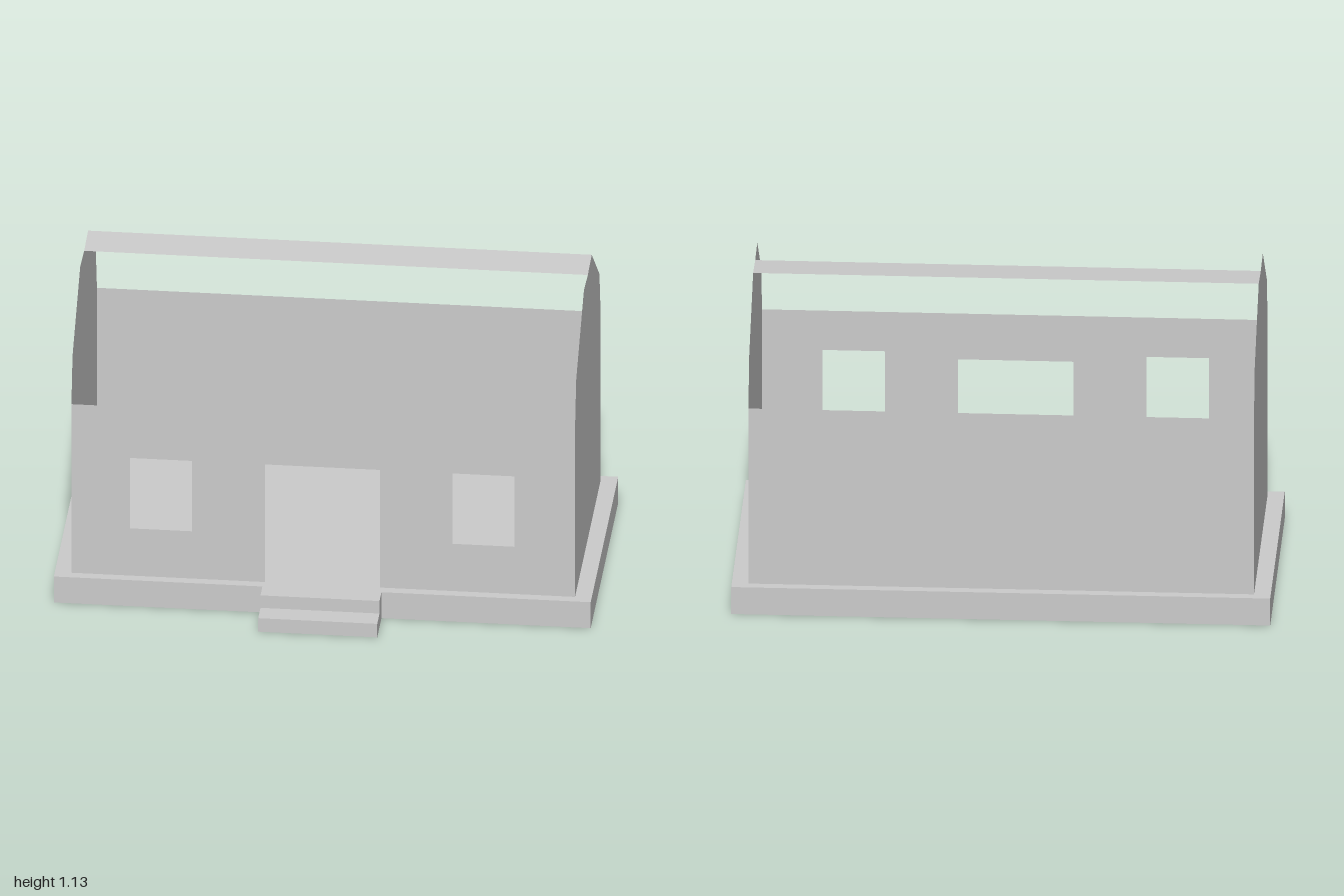
import * as THREE from 'three';

const LENGTH = 1.726, DEPTH = 0.853;   // wall footprint
const FLOOR = 0.1, EAVE = 0.75;
const RIDGE = 1.126, DIP = 1.117, RIDGE_HALF = 0.131;

const solid = new THREE.MeshStandardMaterial({ color: 0xcccccc, flatShading: true });
const sheet = new THREE.MeshStandardMaterial({ color: 0xcccccc, flatShading: true, side: THREE.DoubleSide });

const toPoints = (list) => list.map(([x, y]) => new THREE.Vector2(x, y));

function rect(x0, x1, y0, y1) {
  return toPoints([[x0, y0], [x1, y0], [x1, y1], [x0, y1]]);
}

// Thin upright panel cut from an outline with optional openings
function panel(name, outline, holes = []) {
  const shape = new THREE.Shape(toPoints(outline));
  for (const h of holes) shape.holes.push(new THREE.Path(h));
  const mesh = new THREE.Mesh(new THREE.ShapeGeometry(shape), sheet);
  mesh.name = name;
  return mesh;
}

// Box given by its limits
function slab(name, x0, x1, y0, y1, z0, z1) {
  const mesh = new THREE.Mesh(new THREE.BoxGeometry(x1 - x0, y1 - y0, z1 - z0), solid);
  mesh.position.set((x0 + x1) / 2, (y0 + y1) / 2, (z0 + z1) / 2);
  mesh.name = name;
  return mesh;
}

export function createModel() {
  const model = new THREE.Group();
  model.name = 'house';
  const house = new THREE.Group();
  house.name = 'turnedHouse';
  house.rotation.y = THREE.MathUtils.degToRad(40.6);
  model.add(house);

  // Foundation and entrance steps
  house.add(slab('foundation', -0.92, 0.92, 0, FLOOR, -0.46, 0.46));
  house.add(slab('lowerStep', -0.205, 0.203, 0, 0.052, 0.46, 0.601));
  house.add(slab('upperStep', -0.205, 0.203, 0.052, FLOOR, 0.46, 0.525));

  // Front wall: doorway notched into the outline, a window on each side
  const L = LENGTH / 2, D = DEPTH / 2;
  const frontWall = panel('frontWall', [
    [-L, FLOOR], [-0.2, FLOOR], [-0.2, 0.58], [0.194, 0.58], [0.194, FLOOR],
    [L, FLOOR], [L, EAVE], [-L, EAVE],
  ], [rect(-0.663, -0.45, 0.282, 0.604), rect(0.443, 0.656, 0.282, 0.604)]);
  frontWall.position.z = D;
  house.add(frontWall);

  // Plain back wall
  const backWall = panel('backWall', [[-L, FLOOR], [L, FLOOR], [L, EAVE], [-L, EAVE]]);
  backWall.position.z = -D;
  backWall.rotation.y = Math.PI;
  backWall.name = 'backWall';
  house.add(backWall);

  // End walls with gambrel gables
  const gable = [
    [-D, FLOOR], [D, FLOOR], [D, EAVE], [0.388, 0.917], [RIDGE_HALF, RIDGE],
    [0, DIP], [-RIDGE_HALF, RIDGE], [-0.388, 0.917], [-D, EAVE],
  ];
  for (const side of [-1, 1]) {
    const end = panel(side > 0 ? 'leftEndWall' : 'rightEndWall', gable);
    end.position.x = side * L;
    end.rotation.y = side * Math.PI / 2;
    house.add(end);
  }

  // Ridge strip covering the back half of the ridge
  const width = Math.hypot(RIDGE_HALF, RIDGE - DIP);
  const strip = new THREE.Mesh(new THREE.PlaneGeometry(LENGTH, width), sheet);
  strip.position.set(0, (RIDGE + DIP) / 2, -RIDGE_HALF / 2);
  strip.rotation.x = -Math.PI / 2 + Math.atan2(RIDGE - DIP, RIDGE_HALF);
  strip.name = 'ridgeStrip';
  house.add(strip);

  return model;
}
